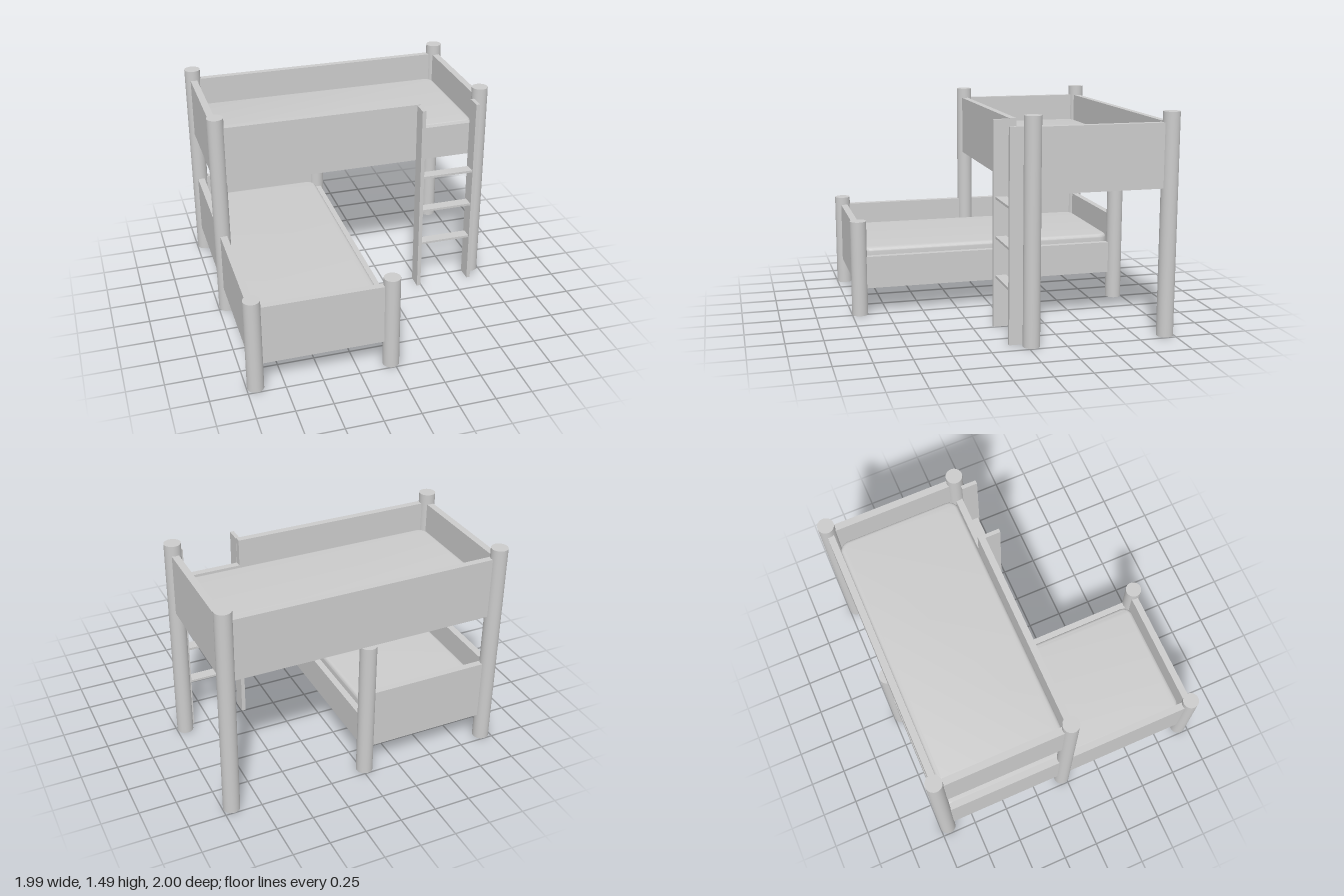
import * as THREE from 'three';
import { toCreasedNormals } from 'three/addons/utils/BufferGeometryUtils.js';

export function createModel() {
  const model = new THREE.Group();
  model.name = 'lShapedBunkBed';
  const mat = new THREE.MeshStandardMaterial({ color: 0xcccccc });

  const add = (name, geometry) => {
    const mesh = new THREE.Mesh(geometry, mat);
    mesh.name = name;
    model.add(mesh);
    return mesh;
  };

  // Box given by its limits on each axis
  const box = (name, x0, x1, y0, y1, z0, z1) =>
    add(name, new THREE.BoxGeometry(x1 - x0, y1 - y0, z1 - z0))
      .position.set((x0 + x1) / 2, (y0 + y1) / 2, (z0 + z1) / 2);

  // Round posts
  const post = (name, x, z, h) =>
    add(name, new THREE.CylinderGeometry(0.056, 0.056, h, 40)).position.set(x, h / 2, z);

  // Mattress with rounded corners and soft edges
  const mattress = (name, x0, x1, y0, y1, z0, z1) => {
    const b = 0.025, r = 0.045;
    const w = (x1 - x0) / 2 - b, d = (z1 - z0) / 2 - b;
    const s = new THREE.Shape();
    s.absarc(w - r, d - r, r, 0, Math.PI / 2);
    s.absarc(-w + r, d - r, r, Math.PI / 2, Math.PI);
    s.absarc(-w + r, -d + r, r, Math.PI, Math.PI * 1.5);
    s.absarc(w - r, -d + r, r, Math.PI * 1.5, Math.PI * 2);
    const g = new THREE.ExtrudeGeometry(s, {
      depth: y1 - y0 - 2 * b, bevelSize: b, bevelThickness: b, bevelSegments: 5, curveSegments: 8,
    });
    g.rotateX(-Math.PI / 2);
    add(name, toCreasedNormals(g, 0.6)).position.set((x0 + x1) / 2, y0 + b, (z0 + z1) / 2);
  };

  const L = -0.94, R = 0.94, M = -0.02, B = -0.944, C = -0.026, F = 0.944;

  for (const x of [L, R]) for (const z of [B, C]) post('upperBedPost', x, z, 1.485);
  for (const x of [L, M]) post('lowerBedFrontPost', x, F, 0.67);
  post('lowerBedBackPost', M, B, 0.99);

  // Upper bed panels
  const u0 = 0.99, u1 = 1.415;
  box('upperBackPanel', L, R, u0, u1, -0.96, -0.915);
  box('upperLeftPanel', -0.963, -0.915, u0, u1, B, C);
  box('upperRightPanel', 0.915, 0.963, u0, u1, B, C);

  // Upper front panel, cut lower at the ladder
  const front = new THREE.Shape();
  [[L, u0], [R, u0], [R, 1.23], [0.493, 1.23], [0.493, u1], [L, u1]].forEach(([x, y], i) =>
    i ? front.lineTo(x, y) : front.moveTo(x, y));
  add('upperFrontPanel', new THREE.ExtrudeGeometry(front, { depth: 0.046, bevelEnabled: false }))
    .position.z = -0.046;

  // Lower bed panels
  const l0 = 0.19, l1 = 0.615;
  box('lowerBackPanel', L, M, l0, l1, -0.96, -0.915);
  box('lowerFrontPanel', L, M, l0, l1, 0.913, 0.96);
  box('lowerLeftPanel', -0.963, -0.915, l0, l1, B, F);
  box('lowerRightRail', -0.043, 0.002, l0, 0.415, B, F);

  mattress('upperMattress', -0.912, 0.912, 1.045, 1.225, -0.91, -0.048);
  mattress('lowerMattress', -0.912, -0.05, 0.28, 0.465, -0.91, 0.91);

  // Ladder
  for (const x of [0.468, 0.864]) box('ladderSide', x, x + 0.027, 0, 1.41, 0, 0.108);
  for (const y of [0.353, 0.621, 0.889]) box('ladderRung', 0.49, 0.87, y - 0.008, y + 0.008, 0.02, 0.096);

  return model;
}
